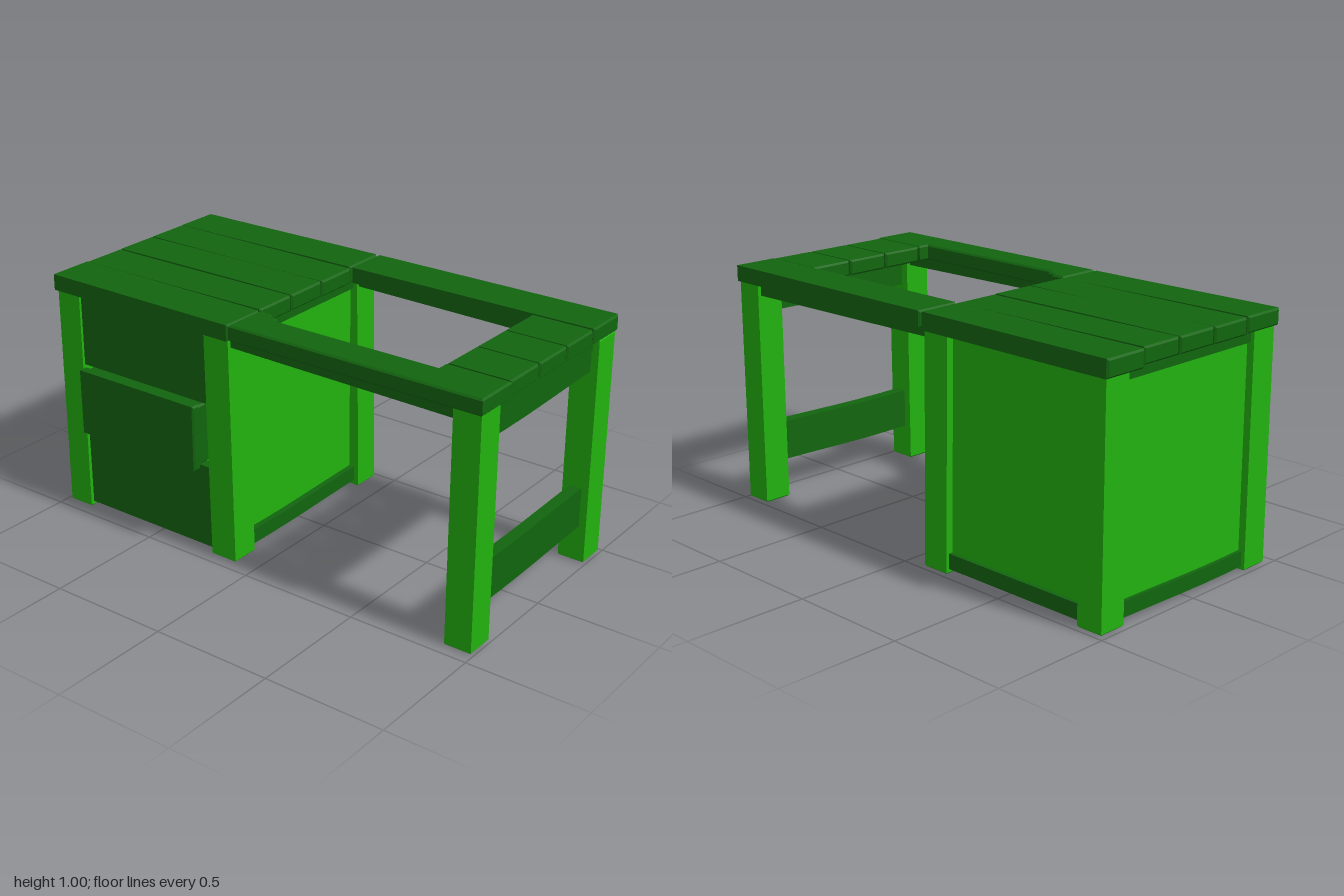
import * as THREE from 'three';

const LIGHT = new THREE.MeshStandardMaterial({ color: 0x22b20f, flatShading: true });
const DARK = new THREE.MeshStandardMaterial({ color: 0x12650f, flatShading: true });

// Chamfered timber filling the given ranges; warp(v, t) bends it, t = 0..1 along its length
function beam(parent, name, mat, [x0, x1], [y0, y1], [z0, z1], warp, b = 0.007) {
  const size = [x1 - x0, y1 - y0, z1 - z0];
  const axis = size.indexOf(Math.max(...size));
  const L = size[axis];
  const w = (axis === 0 ? size[2] : size[0]) / 2 - b;
  const h = (axis === 1 ? size[2] : size[1]) / 2 - b;
  const shape = new THREE.Shape([[-w, -h], [w, -h], [w, h], [-w, h]].map(p => new THREE.Vector2(...p)));
  const geo = new THREE.ExtrudeGeometry(shape, {
    depth: L - 2 * b, steps: warp ? 6 : 1, bevelSize: b, bevelThickness: b, bevelSegments: 1,
  });
  geo.translate(0, 0, -L / 2 + b);
  if (axis === 0) geo.rotateY(Math.PI / 2);
  if (axis === 1) geo.rotateX(-Math.PI / 2);
  if (warp) {
    const pos = geo.attributes.position, v = new THREE.Vector3();
    for (let i = 0; i < pos.count; i++) {
      v.fromBufferAttribute(pos, i);
      warp(v, v.getComponent(axis) / L + 0.5);
      pos.setXYZ(i, v.x, v.y, v.z);
    }
  }
  geo.translate((x0 + x1) / 2, (y0 + y1) / 2, (z0 + z1) / 2);
  geo.computeVertexNormals();
  const mesh = new THREE.Mesh(geo, mat);
  mesh.name = name;
  parent.add(mesh);
}

function group(parent, name) {
  const g = new THREE.Group();
  g.name = name;
  parent.add(g);
  return g;
}

export function createModel() {
  const desk = new THREE.Group();
  desk.name = 'desk';

  // Six legs in three pairs, the middle pair leaning back a little
  const legs = group(desk, 'legs');
  const legX = [[-0.45, -0.332], [0.363, 0.48]];
  const legZ = [[0.877, 0.99], [-0.21, -0.092], [-0.98, -0.868]];
  legZ.forEach((z, row) => legX.forEach(x => {
    beam(legs, 'leg', LIGHT, x, [0, 0.94], z, (v, t) => {
      if (row === 1) v.z -= 0.016 * t;
      if (x[0] < 0) v.x += 0.005 * t;
    });
  }));

  // Table top: long boards over the cabinet and short boards at the front
  const top = group(desk, 'tableTop');
  const boards = [[-0.46, -0.272], [-0.266, -0.082], [-0.075, 0.11], [0.117, 0.302], [0.31, 0.497]];
  boards.forEach((x, i) => {
    const last = i === 4;
    beam(top, 'cabinetTopBoard', DARK, x, [last ? 0.93 : 0.935, 1], [last ? -1 : -0.992, last ? -0.104 : -0.096],
      v => { v.y -= 0.003 * (1 + Math.sin(i * 2.3 + v.z * 3)) / 2; });
    if (i > 0 && !last) beam(top, 'frontTopBoard', DARK, x, [0.935, 0.998], [0.733, 0.993]);
  });
  beam(top, 'sideTopBoard', DARK, boards[4], [0.935, 1], [-0.098, 0.993]);

  // Notched side board, cut back along the opening
  const outline = [[-0.453, 0.085], [-0.453, -0.993], [-0.279, -0.993], [-0.279, -0.74], [-0.327, -0.74],
    [-0.327, -0.01], [-0.305, -0.005], [-0.302, 0.03], [-0.282, 0.038], [-0.282, 0.085]];
  const notched = new THREE.ExtrudeGeometry(new THREE.Shape(outline.map(p => new THREE.Vector2(...p))),
    { depth: 0.051, bevelSize: 0.007, bevelThickness: 0.007, bevelSegments: 1 });
  notched.rotateX(-Math.PI / 2).translate(0, 0.942, 0);
  const notchedBoard = new THREE.Mesh(notched, DARK);
  notchedBoard.name = 'notchedSideBoard';
  top.add(notchedBoard);

  // Battens and long rails beneath the boards
  const frame = group(desk, 'underFrame');
  for (const z of [[0.885, 0.965], [-0.205, -0.125], [-0.965, -0.885]])
    beam(frame, 'batten', DARK, [-0.4, 0.43], [0.89, 0.938], z);
  for (const x of [[-0.43, -0.345], [0.375, 0.465]])
    beam(frame, 'sideRail', DARK, x, [0.892, 0.938], [-0.13, 0.9], (v, t) => { v.y += 0.012 * (0.5 - t); });

  // Apron and stretcher between the front legs, slightly bowed
  const sag = (v, t) => { v.y += 0.008 * (t - 0.5) - 0.008 * Math.sin(Math.PI * t) * (1 - t); };
  beam(frame, 'frontApron', DARK, [-0.345, 0.375], [0.802, 0.892], [0.91, 0.96], sag);
  beam(frame, 'frontStretcher', DARK, [-0.345, 0.375], [0.15, 0.316], [0.91, 0.96], sag);

  // Cabinet: inset panels with a rail under each side, open below
  const cabinet = group(desk, 'cabinet');
  beam(cabinet, 'frontPanel', LIGHT, [-0.36, 0.39], [0.06, 0.94], [-0.165, -0.14], null, 0.003);
  beam(cabinet, 'backPanel', LIGHT, [-0.36, 0.39], [0.06, 0.94], [-0.95, -0.925], null, 0.003);
  beam(cabinet, 'leftPanel', LIGHT, [0.425, 0.45], [0.06, 0.94], [-0.89, -0.19], null, 0.003);
  for (const z of [[-0.185, -0.115], [-0.965, -0.895]])
    beam(cabinet, 'bottomRail', DARK, [-0.345, 0.375], [0.02, 0.082], z, sag);
  for (const x of [[-0.435, -0.365], [0.395, 0.467]])
    beam(cabinet, 'bottomRail', DARK, x, [0.02, 0.082], [-0.88, -0.2]);

  // Drawers on the right side, the middle one pulled out a little
  beam(cabinet, 'drawerBacking', LIGHT, [-0.4, -0.385], [0.06, 0.375], [-0.89, -0.19], null, 0.003);
  for (const y of [[0.085, 0.372], [0.64, 0.925]])
    beam(cabinet, 'drawerFront', DARK, [-0.44, -0.4], y, [-0.87, -0.212]);
  const drawer = group(cabinet, 'openDrawer');
  beam(drawer, 'drawerFront', DARK, [-0.5, -0.464], [0.37, 0.642], [-0.84, -0.242]);
  beam(drawer, 'drawerBody', DARK, [-0.468, -0.1], [0.384, 0.632], [-0.835, -0.25]);
  return desk;
}
